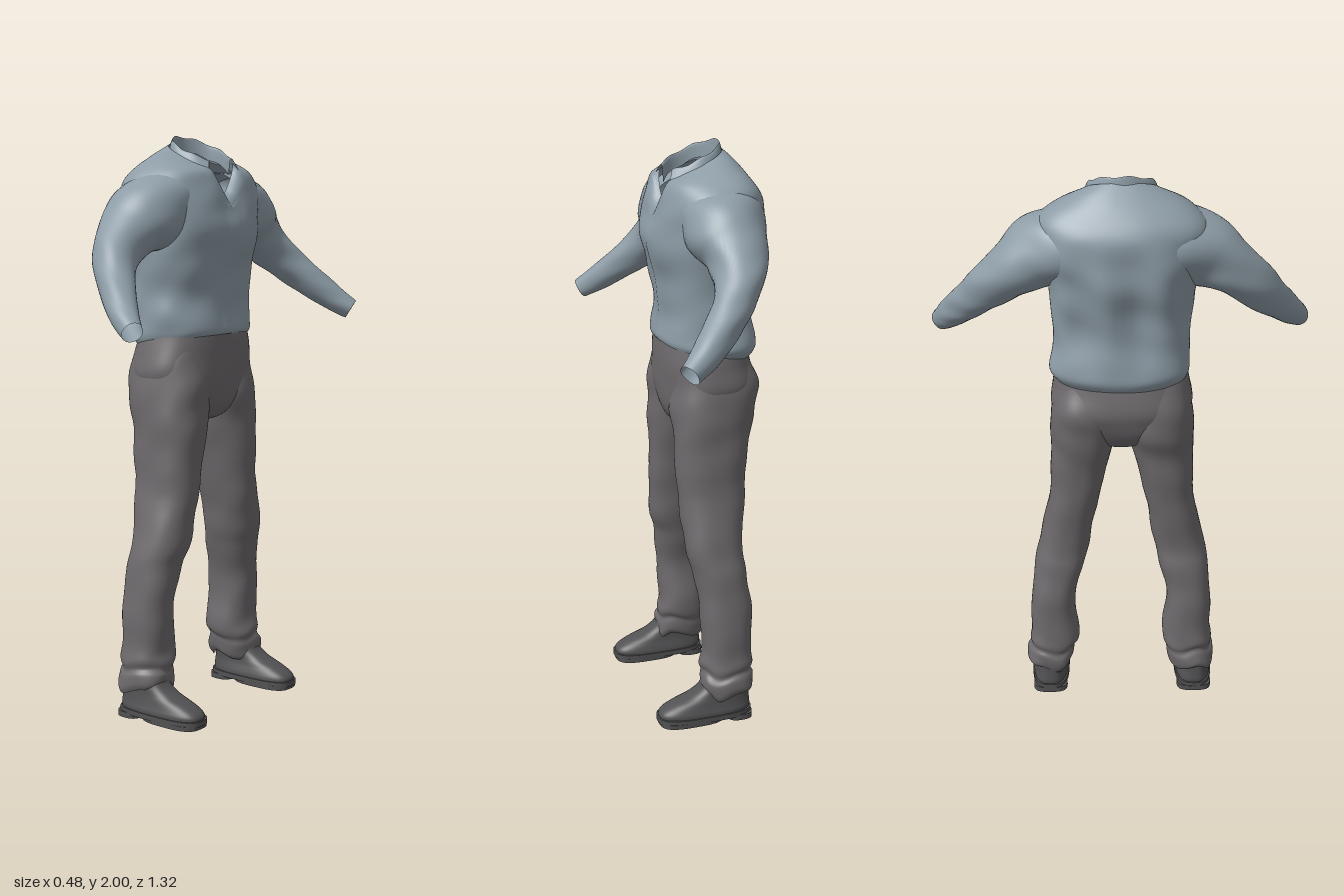
import * as THREE from 'three';

const mat = (name, color) => {
  const m = new THREE.MeshStandardMaterial({ color, side: THREE.DoubleSide });
  m.name = name;
  return m;
};

// surface from a grid of points; columns wrap round when closed
function grid(rows, cols, point, closed = true) {
  const pos = [], idx = [], n = closed ? cols : cols - 1;
  for (let i = 0; i < rows; i++) for (let j = 0; j < cols; j++) pos.push(...point(i, j));
  for (let i = 0; i < rows - 1; i++) for (let j = 0; j < n; j++) {
    const k = (j + 1) % cols, a = i * cols + j, b = a + cols, c = i * cols + k, d = c + cols;
    idx.push(a, b, c, b, d, c);
  }
  const g = new THREE.BufferGeometry();
  g.setAttribute('position', new THREE.Float32BufferAttribute(pos, 3));
  g.setIndex(idx);
  g.computeVertexNormals();
  return g;
}

// cubic interpolation between table rows
function smooth(rows, k) {
  const out = [], at = i => rows[Math.min(Math.max(i, 0), rows.length - 1)];
  for (let i = 0; i < rows.length - 1; i++) for (let s = 0; s < k; s++) {
    const t = s / k;
    out.push(rows[i].map((p1, c) => {
      const p0 = at(i - 1)[c], p2 = at(i + 1)[c], p3 = at(i + 2)[c];
      return p1 + 0.5 * t * (p2 - p0 + t * (2 * p0 - 5 * p1 + 4 * p2 - p3 + t * (3 * (p1 - p2) + p3 - p0)));
    }));
  }
  out.push(rows[rows.length - 1]);
  return out;
}

const power = (v, e) => Math.sign(v) * Math.abs(v) ** e;

// soft cloth creases
const crease = (x, y, z) =>
  Math.sin(15 * x + 23 * y + 9 * z) * Math.sin(19 * z - 11 * y + 2) +
  0.6 * Math.sin(41 * y + 17 * z - 13 * x) * Math.sin(23 * x + 7 * y + 1);

// horizontal rings, bottom to top: [y, x0, x1, z0, z1, front drop, front notch]
function stack(table, { k = 5, cols = 64, e = 0.85, fold = 0, shape = null } = {}) {
  const rows = k > 1 ? smooth(table, k) : table;
  return grid(rows.length, cols, (i, j) => {
    const [y, x0, x1, z0, z1, drop = 0, notch = 0] = rows[i];
    const a = j / cols * Math.PI * 2, c = power(Math.cos(a), e), s = power(Math.sin(a), e);
    const cx = (x0 + x1) / 2, cz = (z0 + z1) / 2, rx = (x1 - x0) / 2, rz = (z1 - z0) / 2;
    const f = 1 + fold * crease(cx + rx * c, y, cz + rz * s);
    const p = [cx + rx * c * f, y - drop * c, cz + rz * s * f];
    if (c > 0) p[1] -= notch * Math.max(0, 1 - Math.abs(p[2]) / 0.075);
    if (shape) shape(p, c);
    return p;
  });
}

// tube along a path: [x, y, z, horizontal radius, vertical radius]
function sleeve(table, cols = 40) {
  const rows = smooth(table, 6);
  const v = r => new THREE.Vector3(r[0], r[1], r[2]);
  return grid(rows.length, cols, (i, j) => {
    const T = v(rows[Math.min(i + 1, rows.length - 1)]).sub(v(rows[Math.max(i - 1, 0)])).normalize();
    const U = T.clone().cross(new THREE.Vector3(0, 1, 0)).normalize();
    const V = U.clone().cross(T);
    const a = j / cols * Math.PI * 2, p = v(rows[i]);
    const f = 1 + 0.05 * crease(p.x + 0.1 * Math.cos(a), p.y + 0.1 * Math.sin(a), p.z);
    return p.addScaledVector(U, Math.cos(a) * rows[i][3] * f)
      .addScaledVector(V, Math.sin(a) * rows[i][4] * f).toArray();
  });
}

export function createModel() {
  const model = new THREE.Group();
  const shirt = mat('blue grey shirt cloth', 0x8d9ca6);
  const cloth = mat('warm grey trouser cloth', 0x6e6a6d);
  const leather = mat('dark grey leather', 0x525153);
  const add = (name, geometry, material) => {
    const m = new THREE.Mesh(geometry, material);
    m.name = name;
    model.add(m);
  };

  // shirt body with an open neck, a raised front placket and long folds down the back
  add('shirtBody', stack([
    [1.305, -0.19, 0.108, -0.225, 0.215, -0.022, 0],
    [1.33, -0.208, 0.114, -0.24, 0.228, -0.012, 0],
    [1.37, -0.208, 0.113, -0.24, 0.232, -0.003, 0],
    [1.45, -0.197, 0.105, -0.232, 0.228, 0, 0],
    [1.55, -0.21, 0.12, -0.24, 0.24, 0, 0],
    [1.67, -0.235, 0.148, -0.25, 0.25, 0, 0],
    [1.76, -0.232, 0.138, -0.272, 0.272, 0, 0.015],
    [1.83, -0.217, 0.123, -0.275, 0.275, 0.005, 0.06],
    [1.88, -0.18, 0.112, -0.24, 0.24, 0.015, 0.085],
    [1.913, -0.135, 0.102, -0.18, 0.18, 0.03, 0.095],
    [1.932, -0.1, 0.092, -0.115, 0.115, 0.045, 0.09],
  ], {
    fold: 0.022, cols: 96, e: 0.8, shape: (p, c) => {
      const mid = Math.max(0, Math.sin((p[1] - 1.32) / 0.5 * Math.PI)) * (p[1] < 1.82 ? 1 : 0);
      if (c < 0) p[0] -= c * mid * (0.01 + 0.012 * Math.cos(34 * p[2] + 3 * p[1]));
      else if (Math.abs(p[2]) < 0.018 && p[1] < 1.76) p[0] += 0.004;
    },
  }), shirt);

  // folded collar, open at the front with spread points
  const fall = smooth([
    [0.96, -0.05], [0.97, -0.015], [1.0, 0], [1.08, -0.006], [1.2, -0.035], [1.3, -0.06],
  ], 3);
  add('collar', grid(fall.length, 48, (i, j) => {
    const t = j / 47, a = (0.19 + 1.62 * t) * Math.PI, [r, dy] = fall[i];
    const tip = Math.max(0, Math.cos(a)) ** 3;
    const back = Math.cos(a) < 0 ? 1 - 0.45 * Math.cos(a) ** 2 : 1;
    const spread = 1 + (r - 1) * back;
    return [-0.003 + 0.097 * Math.cos(a) * (1 + (spread - 1) * (0.7 + 0.8 * tip)),
      1.953 - 0.045 * Math.cos(a) + dy * (1 + 0.3 * tip) + 0.003 * Math.sin(7 * a),
      0.103 * Math.sin(a) * spread + Math.sign(Math.sin(a)) * tip * (r - 0.96) * 0.12];
  }, false), shirt);

  for (const s of [1, -1]) {
    const side = s > 0 ? 'left' : 'right';
    // mirrored ring table; the hem can be set further out on one side
    const ring = (rows, wide = 0) => rows.map(([y, x0, x1, z0, z1]) => {
      const w = wide * Math.max(0, 1 - y / 0.8);
      return s > 0 ? [y, x0, x1, z0, z1] : [y, x0, x1, -z1 - w, -z0 - w];
    });

    // sleeve with open cuff, fanning out into the shoulder
    add(side + 'Sleeve', sleeve([
      [-0.05, 1.775, 0.10, 0.15, 0.10],
      [-0.045, 1.762, 0.19, 0.147, 0.115],
      [-0.038, 1.722, 0.28, 0.128, 0.117],
      [-0.037, 1.675, 0.35, 0.104, 0.097],
      [-0.02, 1.612, 0.425, 0.08, 0.08],
      [0.022, 1.548, 0.488, 0.065, 0.068],
      [0.087, 1.485, 0.545, 0.056, 0.058],
      [0.155, 1.423, 0.595, 0.047, 0.047],
      [0.215, 1.38, 0.629, 0.035, 0.036],
    ].map(r => r.map((v, c) => c === 2 ? v * s : v))), shirt);

    // trouser leg with bunched hem
    add(side + 'TrouserLeg', stack(ring([
      [0.10, -0.137, 0.035, 0.185, 0.335],
      [0.12, -0.145, 0.042, 0.174, 0.343],
      [0.155, -0.142, 0.044, 0.167, 0.339],
      [0.178, -0.133, 0.036, 0.165, 0.326],
      [0.205, -0.141, 0.042, 0.152, 0.332],
      [0.26, -0.138, 0.034, 0.152, 0.328],
      [0.40, -0.138, 0.042, 0.165, 0.322],
      [0.53, -0.128, 0.055, 0.133, 0.31],
      [0.62, -0.118, 0.08, 0.112, 0.295],
      [0.80, -0.137, 0.092, 0.082, 0.257],
      [1.00, -0.162, 0.101, 0.036, 0.25],
      [1.10, -0.188, 0.104, 0.01, 0.247],
      [1.19, -0.196, 0.098, 0.01, 0.238],
      [1.27, -0.172, 0.088, 0.015, 0.22],
      [1.33, -0.155, 0.08, 0.02, 0.2],
    ], 0.013), {
      fold: 0.03, shape: p => {
        // ruffles near the ankle
        const low = Math.max(0, 1 - p[1] / 0.3);
        p[1] += low * 0.022 * Math.sin(31 * p[0] + 43 * p[2]);
        p[0] += low * 0.006 * Math.sin(55 * p[1] + 40 * p[2]);
      },
    }), cloth);

    // boot upper
    add(side + 'BootUpper', stack(ring([
      [0.03, -0.128, 0.203, 0.203, 0.334],
      [0.045, -0.13, 0.202, 0.204, 0.334],
      [0.06, -0.129, 0.187, 0.208, 0.33],
      [0.078, -0.127, 0.15, 0.213, 0.326],
      [0.10, -0.125, 0.092, 0.215, 0.323],
      [0.13, -0.122, 0.048, 0.212, 0.323],
      [0.18, -0.118, 0.025, 0.205, 0.318],
    ]), { cols: 48, e: 0.7 }), leather);

    // sole, forefoot pad and heel as closed slabs
    const slab = (name, y0, y1, x0, x1, z0, z1) => {
      const cx = (x0 + x1) / 2, cz = (z0 + z1) / 2, edge = [x0, x1, z0, z1], dot = [cx, cx, cz, cz];
      add(side + name, stack(ring([
        [y0, ...dot], [y0, ...edge], [y0, ...edge], [y1, ...edge], [y1, ...edge], [y1, ...dot],
      ]), { k: 1, cols: 40, e: 0.65 }), leather);
    };
    slab('Sole', 0.015, 0.034, -0.134, 0.209, 0.199, 0.338);
    slab('ForefootPad', 0.004, 0.02, -0.03, 0.204, 0.202, 0.336);
    slab('BootHeel', 0, 0.02, -0.134, -0.038, 0.206, 0.332);
  }

  // hips and waist of the trousers, closed at the crotch
  add('trouserHips', stack([
    [1.022, -0.03, -0.03, 0, 0],
    [1.024, -0.07, 0.03, -0.035, 0.035],
    [1.045, -0.13, 0.072, -0.09, 0.09],
    [1.09, -0.168, 0.096, -0.165, 0.165],
    [1.15, -0.193, 0.107, -0.222, 0.222],
    [1.20, -0.204, 0.11, -0.242, 0.242],
    [1.27, -0.19, 0.11, -0.233, 0.228],
    [1.35, -0.175, 0.104, -0.22, 0.215],
  ], { fold: 0.012, e: 0.8 }), cloth);

  return model;
}
